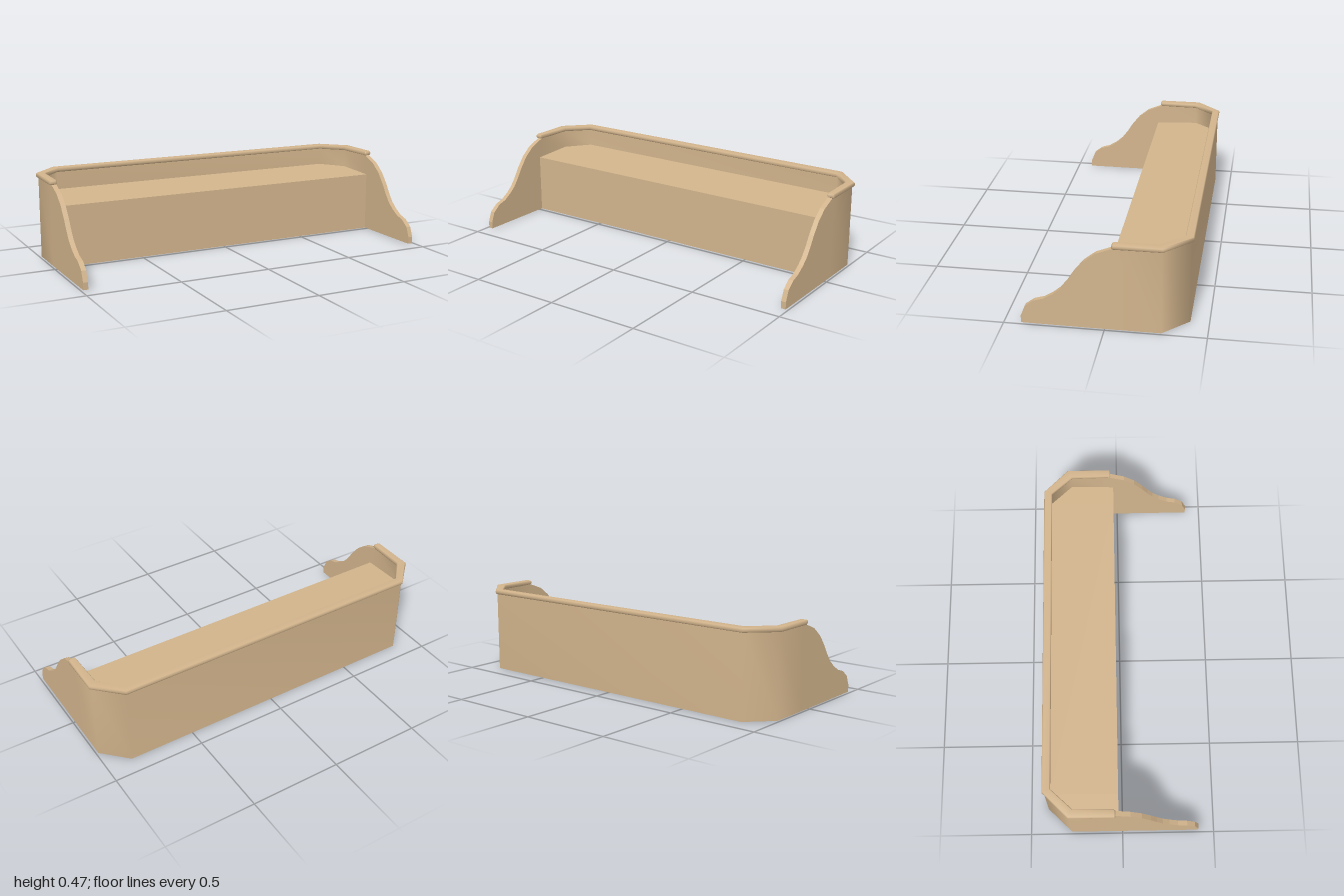
import * as THREE from 'three';

const tan = new THREE.MeshStandardMaterial({ color: 0xd2b48c });
tan.name = 'tan';
tan.side = THREE.DoubleSide;

// Skins a row of cross-sections, each a list of [x, y, z]
function loft(rings, closed = false) {
  const n = rings[0].length;
  const index = [];
  for (let i = 0; i < rings.length - 1; i++) {
    for (let j = 0; j < (closed ? n : n - 1); j++) {
      const a = i * n + j, b = i * n + (j + 1) % n;
      index.push(a, a + n, b, b, a + n, b + n);
    }
  }
  if (closed) {
    const last = (rings.length - 1) * n;
    for (let j = 1; j < n - 1; j++) {
      index.push(0, j, j + 1, last, last + j + 1, last + j);
    }
  }
  const geo = new THREE.BufferGeometry();
  geo.setAttribute('position', new THREE.Float32BufferAttribute(rings.flat(2), 3));
  geo.setIndex(index);
  geo.computeVertexNormals();
  return geo;
}

// Extends a plan path on the +x side to the whole U, ending on the -x side
const mirrorPath = (half) => [...half, ...half.map(([x, z]) => [-x, z]).reverse()];

export function createModel() {
  const group = new THREE.Group();
  const add = (name, geo) => {
    const mesh = new THREE.Mesh(geo, tan);
    mesh.name = name;
    group.add(mesh);
    return mesh;
  };

  const frontZ = -0.022, wallTop = 0.447;
  const shelfY = (z) => 0.33 + 0.015 * (frontZ - z) / 0.356;

  // Outer wall with chamfered back corners
  const outer = mirrorPath([[0.988, -0.05], [0.988, -0.276], [0.861, -0.406]]);
  add('outerWall', loft(outer.map(([x, z]) => [[x, 0, z], [x, wallTop, z]])));

  // Inner wall above the shelf
  const inner = mirrorPath([[0.962, -0.05], [0.962, -0.262], [0.851, -0.378]]);
  add('innerWall', loft(inner.map(([x, z]) => [[x, wallTop, z], [x, shelfY(z), z]])));

  // Gently sloping shelf and the front panel below it
  add('shelf', loft(inner.slice(1, -1).map(([x, z]) => [[x, shelfY(z), z], [x, 0.33, frontZ]])));
  add('frontPanel', loft([-0.962, 0.962].map((x) => [[x, 0, frontZ], [x, 0.33, frontZ]])));

  // Side wings with a wavy front edge, as [z, y]
  const wing = new THREE.Shape([
    [-0.05, 0], [0.415, 0.002], [0.415, 0.04], [0.393, 0.095], [0.348, 0.13],
    [0.298, 0.145], [0.25, 0.175], [0.213, 0.207], [0.18, 0.25], [0.147, 0.302],
    [0.1, 0.362], [0.04, 0.41], [-0.04, 0.442], [-0.05, 0.442],
  ].map(([z, y]) => new THREE.Vector2(z, y)));
  const wingGeo = new THREE.ExtrudeGeometry(wing, { depth: 0.026, bevelEnabled: false });
  wingGeo.rotateY(-Math.PI / 2);
  add('leftWing', wingGeo).position.x = 0.988;
  add('rightWing', wingGeo).position.x = -0.962;

  // Rounded rim: section as [0 inner to 1 outer, height], tapering at its tips
  const rimOut = mirrorPath([[1, -0.038], [1, -0.046], [1, -0.281], [0.866, -0.415]]);
  const rimIn = mirrorPath([[0.959, -0.038], [0.959, -0.046], [0.953, -0.257], [0.848, -0.37]]);
  const section = [
    [0.12, 0.442], [0.88, 0.442], [0.97, 0.446], [1, 0.4545], [0.97, 0.463], [0.88, 0.467],
    [0.12, 0.467], [0.03, 0.463], [0, 0.4545], [0.03, 0.446],
  ];
  add('topRim', loft(rimOut.map(([ox, oz], i) => {
    const [ix, iz] = rimIn[i];
    const tip = i === 0 || i === rimOut.length - 1 ? 0.65 : 1;
    return section.map(([t, y]) => {
      const s = 0.5 + (t - 0.5) * (tip === 1 ? 1 : 0.85);
      return [ix + (ox - ix) * s, 0.4545 + (y - 0.4545) * tip, iz + (oz - iz) * s];
    });
  }), true));

  return group;
}
